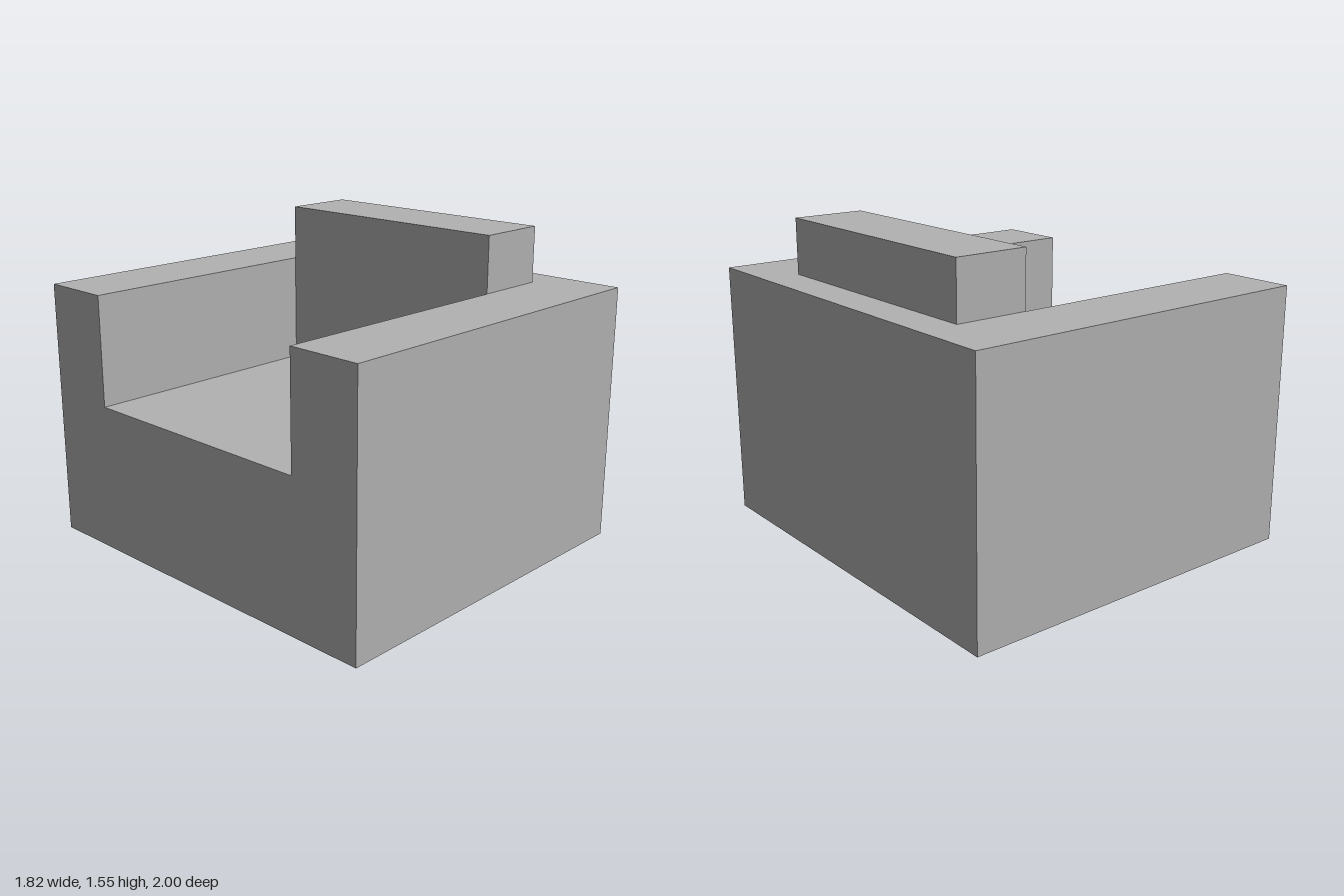
import * as THREE from 'three';

const HX = 0.91, HZ = 1, ARM_TOP = 1.273, SEAT_TOP = 0.73;
const BACK_X = 0.362, INNER_Z = 0.637;

export function createModel() {
  const group = new THREE.Group();
  group.name = 'armchair';
  const upholstery = new THREE.MeshStandardMaterial({ color: 0xb2b2b2 });
  upholstery.name = 'grey upholstery';

  const add = (name, geometry) => {
    const mesh = new THREE.Mesh(geometry, upholstery);
    mesh.name = name;
    group.add(mesh);
  };
  // box given by its extents, centred on z
  const block = (x0, x1, y0, y1, halfZ) =>
    new THREE.BoxGeometry(x1 - x0, y1 - y0, 2 * halfZ)
      .translate((x0 + x1) / 2, (y0 + y1) / 2, 0);

  // U-shaped arms and back, drawn in plan and raised from the floor
  const plan = new THREE.Shape([
    [-HX, -HZ], [HX, -HZ], [HX, HZ], [-HX, HZ],
    [-HX, INNER_Z], [BACK_X, INNER_Z], [BACK_X, -INNER_Z], [-HX, -INNER_Z],
  ].map(([x, y]) => new THREE.Vector2(x, y)));
  add('armsAndBack', new THREE.ExtrudeGeometry(plan, { depth: ARM_TOP, bevelEnabled: false })
    .rotateX(-Math.PI / 2));

  // seat filling the opening, flush with the arm ends
  add('seat', block(-HX, BACK_X, 0, SEAT_TOP, INNER_Z));

  // raised headrest along the inner edge of the back
  add('headrest', block(BACK_X, 0.725, ARM_TOP, 1.547, INNER_Z));

  return group;
}
